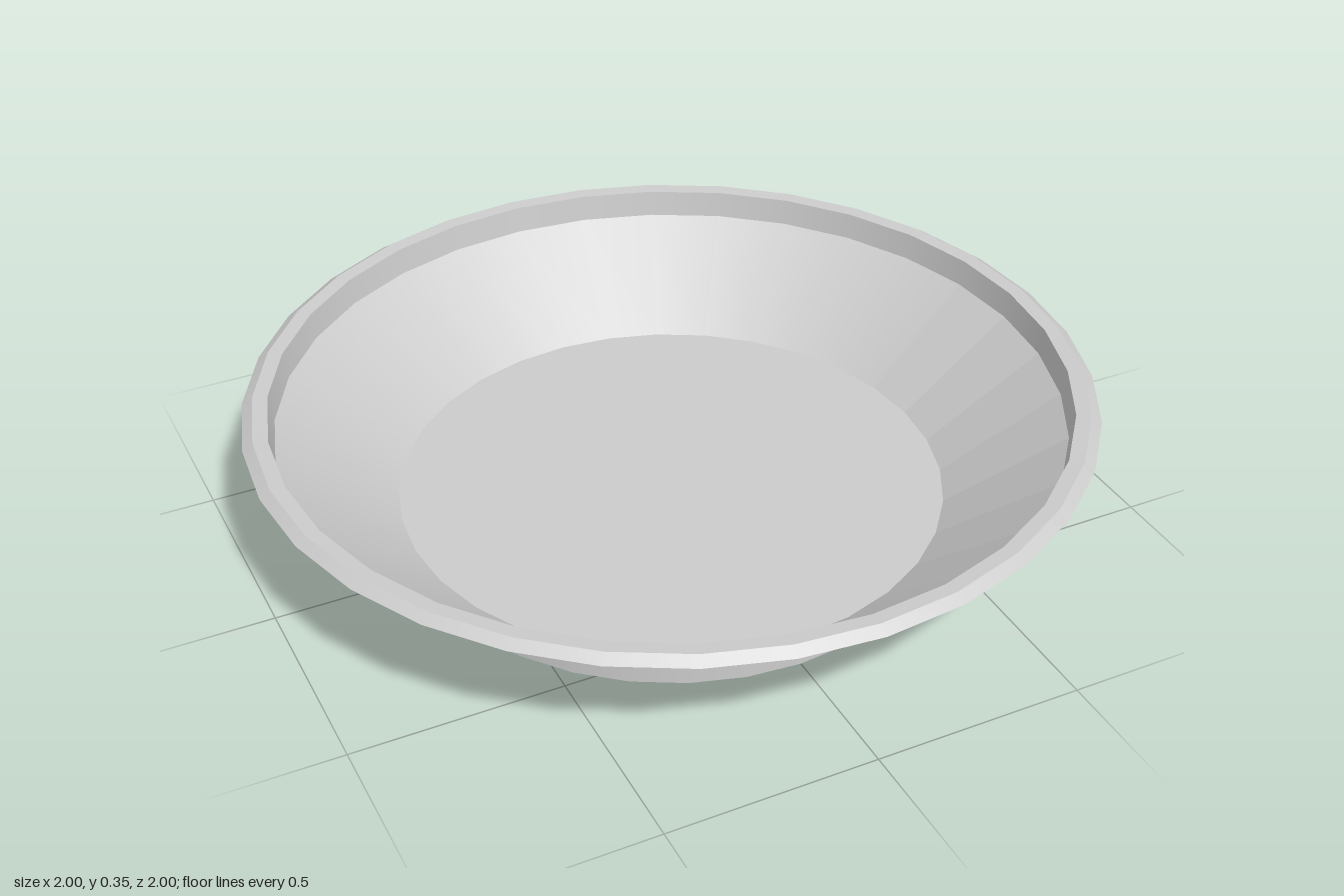
import * as THREE from 'three';

const SIDES = 32;
const STEP = (Math.PI * 2) / SIDES;
const smooth = new THREE.MeshStandardMaterial({ color: 0xcccccc });
const faceted = new THREE.MeshStandardMaterial({ color: 0xcccccc, flatShading: true });

export function createModel() {
  const dish = new THREE.Group();
  dish.name = 'dish';

  // Turns a profile of [radius, height] points over a run of the 32 sides
  function turn(name, profile, first = 0, count = SIDES, material = smooth) {
    const points = profile.map(([r, y]) => new THREE.Vector2(r, y));
    const geometry = new THREE.LatheGeometry(points, count, first * STEP, count * STEP);
    const mesh = new THREE.Mesh(geometry, material);
    mesh.name = name;
    dish.add(mesh);
  }

  // Foot: flat underside and short upright ring
  turn('base', [[0, 0], [0.66, 0]]);
  turn('footRing', [[0.66, 0], [0.66, 0.07]]);

  // Thin flared wall, smooth except for seven faceted panels on one side
  const outer = [[0.66, 0.07], [1, 0.335]];
  const inner = [[0.93, 0.285], [0.655, 0.075]];
  turn('outerWall', outer, 9, 25);
  turn('outerPanels', outer, 2, 7, faceted);
  turn('innerWall', inner, 9, 25);
  turn('innerPanels', inner, 2, 7, faceted);

  // Rim: bevelled outer edge, flat lip and steep inner edge
  turn('rimBevel', [[1, 0.335], [0.975, 0.352]]);
  turn('rimLip', [[0.975, 0.352], [0.94, 0.35]]);
  turn('rimInnerEdge', [[0.94, 0.35], [0.93, 0.285]]);

  // Floor of the dish
  turn('floor', [[0.655, 0.075], [0, 0.075]]);

  return dish;
}
